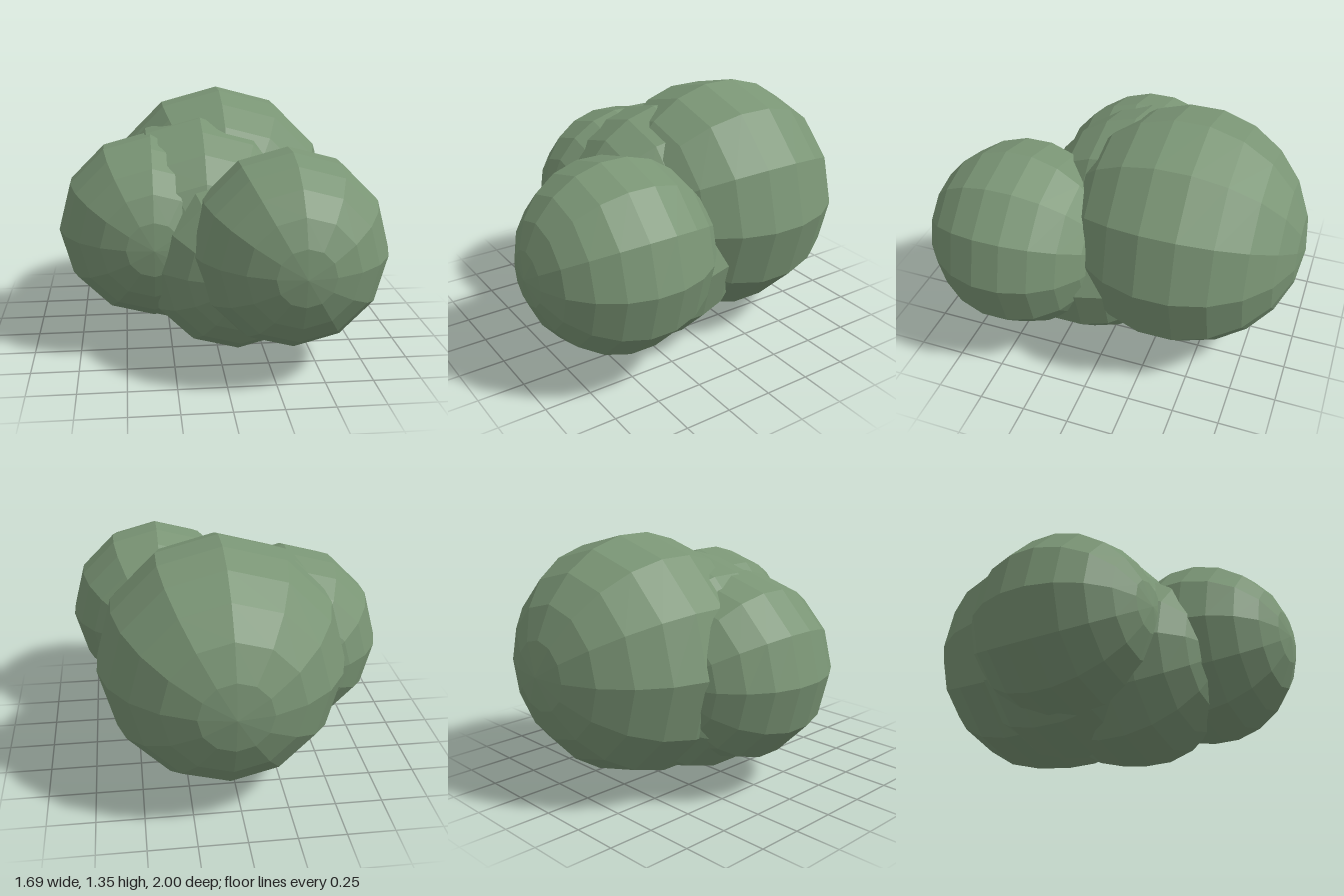
import * as THREE from 'three';

// Each leaf clump: name, radius, centre [x, y, z]
const CLUMPS = [
  ['backClump', 0.65, [0.06, 0.71, -0.35]],
  ['frontClump', 0.51, [0.34, 0.655, 0.488]],
  ['rightClump', 0.51, [-0.345, 0.655, 0.005]],
  ['lowerClump', 0.53, [0.1, 0.53, 0.165]],
  ['coreClump', 0.6, [-0.07, 0.645, -0.095]],
];

export function createModel() {
  const bush = new THREE.Group();
  bush.name = 'bush';
  const leafGreen = new THREE.MeshStandardMaterial({ color: 0x7a9575, flatShading: true });
  leafGreen.name = 'leafGreen';

  // Low-poly balls with their poles pointing front and back
  for (const [name, radius, centre] of CLUMPS) {
    const ball = new THREE.SphereGeometry(radius, 12, 11).rotateX(Math.PI / 2);
    const clump = new THREE.Mesh(ball, leafGreen);
    clump.name = name;
    clump.position.set(...centre);
    bush.add(clump);
  }
  return bush;
}
